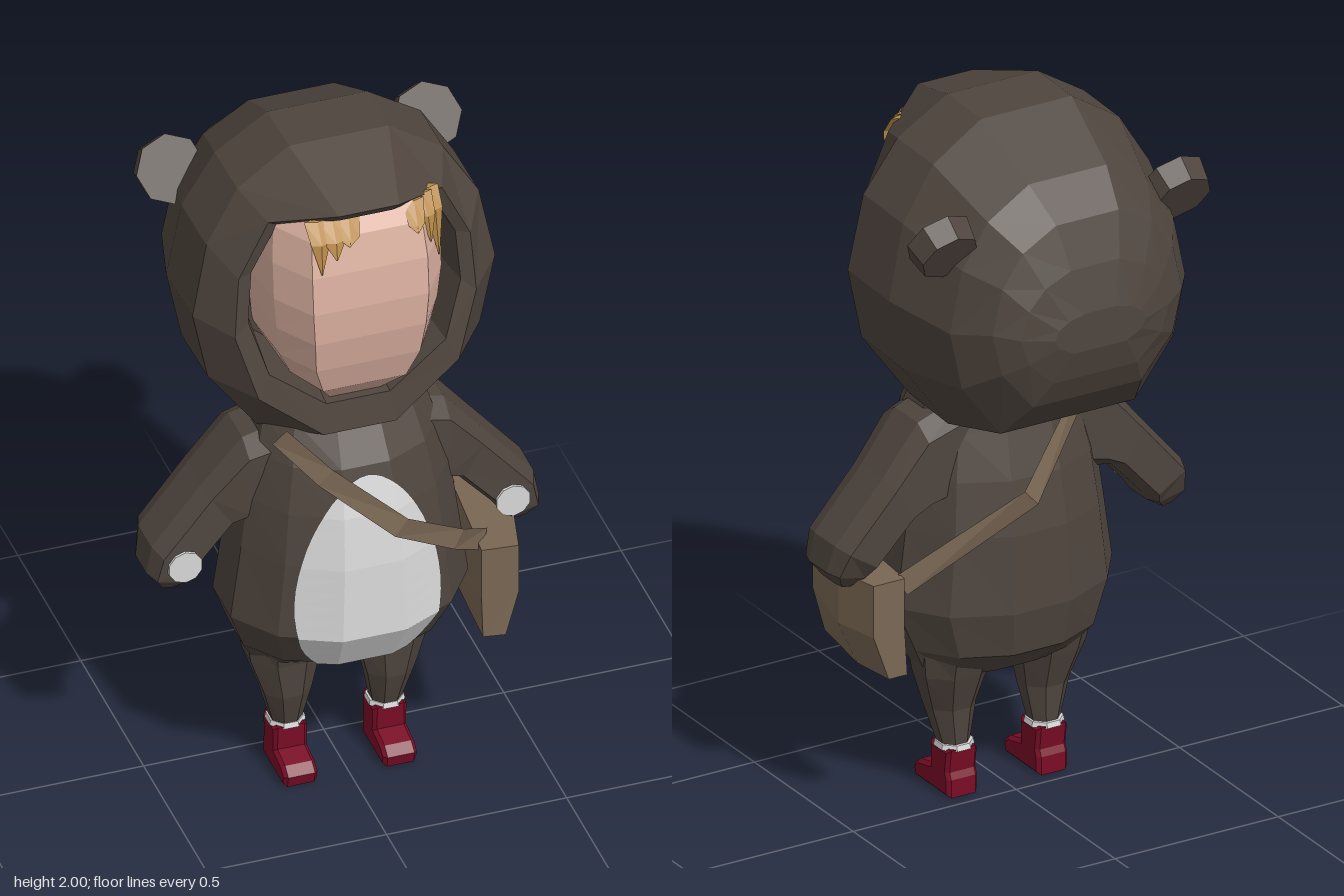
import * as THREE from 'three';

const mat = (name, color, side = THREE.FrontSide) => {
  const m = new THREE.MeshStandardMaterial({ color, flatShading: true, side });
  m.name = name;
  return m;
};

// Flat-shaded geometry from triangles of [x, y, z] points
function fromTriangles(tris) {
  const g = new THREE.BufferGeometry();
  g.setAttribute('position', new THREE.Float32BufferAttribute(tris.flat(2), 3));
  g.computeVertexNormals();
  return g;
}

// Closed skin over a row of equal-sized loops, turned so that it faces outward
function loft(rings) {
  const tris = [], n = rings[0].length;
  const mid = r => [0, 1, 2].map(i => r.reduce((s, p) => s + p[i], 0) / n);
  for (let i = 0; i < rings.length - 1; i++) {
    for (let k = 0; k < n; k++) {
      const a = rings[i][k], b = rings[i][(k + 1) % n];
      const c = rings[i + 1][(k + 1) % n], d = rings[i + 1][k];
      tris.push([a, b, c], [a, c, d]);
    }
  }
  const first = rings[0], last = rings[rings.length - 1];
  const m0 = mid(first), m1 = mid(last);
  for (let k = 0; k < n; k++) {
    const j = (k + 1) % n;
    tris.push([m0, first[j], first[k]], [m1, last[k], last[j]]);
  }
  const volume = tris.reduce((s, [a, b, c]) => s
    + a[0] * (b[1] * c[2] - b[2] * c[1])
    + a[1] * (b[2] * c[0] - b[0] * c[2])
    + a[2] * (b[0] * c[1] - b[1] * c[0]), 0);
  return fromTriangles(volume < 0 ? tris.map(([a, b, c]) => [a, c, b]) : tris);
}

// Horizontal loop: height, centre x, half width, back z, front z
function level(y, cx, hw, z0, z1, n = 12) {
  const s = 1 / Math.cos(Math.PI / n), cz = (z0 + z1) / 2, rz = (z1 - z0) / 2;
  return Array.from({ length: n }, (_, k) => {
    const a = (k + 0.5) * 2 * Math.PI / n;
    return [cx + Math.sin(a) * hw * s, y, cz + Math.cos(a) * rz * s];
  });
}

// Upright hood loops from half outlines, crown to chin; z is one depth or one per point
const shell = [[0.33, 1], [0.68, 0.78], [0.9, 0.44], [1, -0.05], [0.9, -0.52], [0.57, -0.96]];
const rim = [[0.25, 1], [0.72, 0.85], [0.96, 0.4], [1, -0.08], [0.83, -0.6], [0.3, -1]];
function hoodRing(outline, hw, y0, y1, z) {
  const half = outline.map(([u, v], i) =>
    [u * hw, (y0 + y1) / 2 + v * (y1 - y0) / 2, Array.isArray(z) ? z[i] : z]);
  return [...half, ...half.slice().reverse().map(([x, y, d]) => [-x, y, d])];
}

// Flat band along a path that wraps the body
function ribbon(points, halfWidth) {
  const path = points.map(p => new THREE.Vector3(...p));
  const edges = path.map((p, i) => {
    const t = path[Math.min(i + 1, path.length - 1)].clone().sub(path[Math.max(i - 1, 0)]);
    const w = t.cross(new THREE.Vector3(p.x * 0.35, 0, p.z - 0.13)).setLength(halfWidth);
    return [p.clone().add(w).toArray(), p.clone().sub(w).toArray()];
  });
  const tris = [];
  for (let i = 0; i < edges.length - 1; i++) {
    const [a, b] = edges[i], [d, c] = edges[i + 1];
    tris.push([a, b, c], [a, c, d]);
  }
  return fromTriangles(tris);
}

export function createModel() {
  const model = new THREE.Group();
  const fur = mat('brown fur', 0x4f453e);
  const skin = mat('skin', 0xdcb1a1);
  const hair = mat('blond hair', 0xb98b4a);
  const white = mat('pale patch', 0xd8d8d8, THREE.DoubleSide);
  const leather = mat('leather', 0x7a6753, THREE.DoubleSide);
  const red = mat('red boots', 0x7a0c26);
  const add = (name, geometry, material) => {
    const m = new THREE.Mesh(geometry, material);
    m.name = name;
    model.add(m);
    return m;
  };

  // Hood: back to front, over the rim and into the lining
  add('hood', loft([
    hoodRing(shell, 0.14, 1.45, 1.56, -0.427),
    hoodRing(shell, 0.225, 1.36, 1.68, -0.40),
    hoodRing(shell, 0.29, 1.28, 1.80, -0.36),
    hoodRing(shell, 0.36, 1.17, 1.885, -0.26),
    hoodRing(shell, 0.42, 1.12, 1.995, -0.05),
    hoodRing(shell, 0.42, 1.13, 2.0, [0.12, 0.13, 0.15, 0.16, 0.16, 0.15]),
    hoodRing(rim, 0.335, 1.172, 1.92, [0.36, 0.25, 0.245, 0.255, 0.28, 0.29]),
    hoodRing(rim, 0.295, 1.26, 1.893, [0.34, 0.24, 0.235, 0.245, 0.27, 0.275]),
    hoodRing(rim, 0.27, 1.28, 1.875, 0.08),
  ]), fur);

  // Face: rows of height, half width, front depth
  const cols = [[-1, -0.28], [-0.93, -0.11], [-0.64, 0], [0.64, 0], [0.93, -0.11], [1, -0.28]];
  add('face', loft([
    [1.25, 0.10, 0.24], [1.34, 0.18, 0.325], [1.43, 0.225, 0.355], [1.53, 0.24, 0.375],
    [1.63, 0.25, 0.38], [1.74, 0.25, 0.37], [1.84, 0.24, 0.345], [1.9, 0.21, 0.31],
  ].map(([y, w, z]) => cols.map(([u, d]) => [u * w, y, z + d]))), skin);

  // Fringe: base x, half width, tip x, tip y
  for (const [x, w, tx, ty] of [
    [-0.13, 0.035, -0.135, 1.755], [-0.09, 0.04, -0.095, 1.795], [-0.045, 0.035, -0.06, 1.83],
    [0.14, 0.03, 0.13, 1.83], [0.17, 0.03, 0.18, 1.765], [0.195, 0.03, 0.21, 1.70],
  ]) {
    const depth = v => 0.38 - Math.max(0, Math.abs(v) - 0.13) * 0.8;
    const diamond = (cx, y, cz, r, t) =>
      [[cx - r, y, cz], [cx, y, cz + t], [cx + r, y, cz], [cx, y, cz - t]];
    add('hairStrand', loft([
      diamond(x, 1.89, depth(x) - 0.065, w, 0.01),
      diamond((x + tx) / 2, 1.84, depth((x + tx) / 2) - 0.022, w * 0.75, 0.01),
      diamond(tx, ty, depth(tx), 0.002, 0.002),
    ]), hair);
  }

  // Body
  const bodyRings = [
    [1.19, 0.22, -0.03, 0.27], [1.08, 0.25, -0.065, 0.335], [0.95, 0.28, -0.1, 0.37],
    [0.8, 0.30, -0.125, 0.392], [0.58, 0.33, -0.135, 0.4], [0.45, 0.28, -0.11, 0.32],
    [0.36, 0.235, 0, 0.18],
  ].map(([y, w, z0, z1]) => level(y, 0, w, z0, z1));
  add('body', loft(bodyRings), fur);

  // Belly patch: egg outline laid on the body, cut along the body's own edges
  const bellyRow = y => {
    let i = 0;
    while (i < bodyRings.length - 2 && bodyRings[i + 1][0][1] > y) i++;
    const A = bodyRings[i], B = bodyRings[i + 1], t = (A[0][1] - y) / (A[0][1] - B[0][1]);
    const [p, q, r] = [0, 1, 2].map(k => A[k].map((v, j) => v + (B[k][j] - v) * t));
    const s = Math.max(-1, Math.min(1, (y - 0.73) / 0.33));
    const w = 0.2 * Math.sqrt(1 - s * s) * (1 - 0.22 * s);
    const at = x => {
      const [a, b] = x <= p[0] ? [p, p] : x <= q[0] ? [p, q] : [q, r];
      const f = a === b ? 0 : (x - a[0]) / (b[0] - a[0]);
      return [x, y, a[2] + (b[2] - a[2]) * f + 0.009];
    };
    const half = [Math.min(p[0], w), Math.min(q[0], w), w].map(at);
    return [...half.slice().reverse().map(([x, h, z]) => [-x, h, z]), ...half];
  };
  const heights = Array.from({ length: 25 }, (_, i) => 0.73 - 0.33 * Math.cos(i / 24 * Math.PI));
  const rows = [...heights, 0.45, 0.58, 0.8, 0.95].sort((a, b) => a - b).map(bellyRow);
  const bellyTris = [];
  for (let i = 0; i < rows.length - 1; i++) {
    for (let k = 0; k < 5; k++) {
      const a = rows[i][k], b = rows[i][k + 1], c = rows[i + 1][k + 1], d = rows[i + 1][k];
      bellyTris.push([a, b, c], [a, c, d]);
    }
  }
  add('bellyPatch', fromTriangles(bellyTris), white);

  // Arm sections: outer x y, inner x y, back z, front z
  const armSections = [
    [0.14, 1.16, 0.18, 0.88, -0.02, 0.23], [0.28, 1.115, 0.27, 0.86, -0.02, 0.21],
    [0.39, 0.98, 0.31, 0.855, -0.02, 0.195], [0.53, 0.815, 0.415, 0.74, -0.01, 0.2],
    [0.545, 0.735, 0.435, 0.71, 0.02, 0.193], [0.51, 0.69, 0.475, 0.683, 0.05, 0.165],
  ];
  const armLoop = [[0.7, 1], [1, 0.5], [1, -0.5], [0.7, -1], [-0.7, -1], [-1, -0.5], [-1, 0.5], [-0.7, 1]];

  for (const s of [1, -1]) {
    const side = s > 0 ? 'left' : 'right';
    add(side + 'Arm', loft(armSections.map(([ox, oy, ix, iy, z0, z1]) => armLoop.map(([u, v]) => [
      s * ((ox + ix) / 2 + u * (ox - ix) / 2),
      (oy + iy) / 2 + u * (oy - iy) / 2,
      (z0 + z1) / 2 + v * (z1 - z0) / 2,
    ]))), fur);

    // Palm patch
    const pad = add(side + 'Palm', new THREE.CylinderGeometry(0.048, 0.048, 0.009, 10), white);
    pad.rotation.x = Math.PI / 2;
    pad.position.set(s * 0.455, 0.77, 0.202);

    // Ear
    const ear = add(side + 'Ear', new THREE.CylinderGeometry(0.095, 0.083, 0.07, 8), fur);
    ear.rotation.x = Math.PI / 3;
    ear.position.set(s * 0.357, 1.745, -0.225);

    // Leg
    add(side + 'Leg', loft([
      [0.46, 0.15, 0.11, -0.03, 0.2], [0.36, 0.148, 0.098, 0, 0.175],
      [0.25, 0.143, 0.066, 0.04, 0.165], [0.13, 0.138, 0.038, 0.05, 0.13],
    ].map(([y, x, w, z0, z1]) => level(y, s * x, w, z0, z1, 8))), fur);

    // Boot: side outline pushed across the foot
    const outline = new THREE.Shape([
      [0.05, 0.01], [0.205, 0.01], [0.21, 0.03], [0.19, 0.046], [0.125, 0.06], [0.127, 0.128],
      [0.05, 0.128], [0.058, 0.07], [0.05, 0.05],
    ].map(([z, y]) => new THREE.Vector2(z, y)));
    const boot = add(side + 'Boot', new THREE.ExtrudeGeometry(outline, {
      depth: 0.074, bevelEnabled: true, bevelSize: 0.01, bevelThickness: 0.01, bevelSegments: 1,
    }), red);
    boot.rotation.y = -Math.PI / 2;
    boot.position.x = s * 0.138 + 0.037;

    // Boot trim
    add(side + 'BootTrim', loft([
      level(0.132, s * 0.138, 0.05, 0.036, 0.14, 8), level(0.147, s * 0.138, 0.047, 0.04, 0.136, 8),
    ]), white);
  }

  // Satchel: footprint bulging outward, drawn in at the bottom
  const footprint = [[0.33, 0.31], [0.43, 0.32], [0.485, 0.1], [0.455, -0.03], [0.36, -0.03]];
  add('satchel', loft([[0.43, 0.6], [0.56, 1], [0.71, 1]].map(([y, k]) =>
    footprint.map(([x, z]) => [0.34 + (x - 0.34) * k, y, z]))), leather);

  // Strap: across the chest, then across the back
  add('frontStrap', ribbon([
    [0.36, 0.70, 0.25], [0.25, 0.80, 0.36], [0.07, 0.92, 0.42],
    [-0.12, 1.085, 0.36], [-0.22, 1.185, 0.28],
  ], 0.03), leather);
  add('backStrap', ribbon([
    [-0.21, 1.16, -0.02], [0.05, 0.92, -0.16], [0.36, 0.68, -0.01],
  ], 0.03), leather);

  return model;
}
